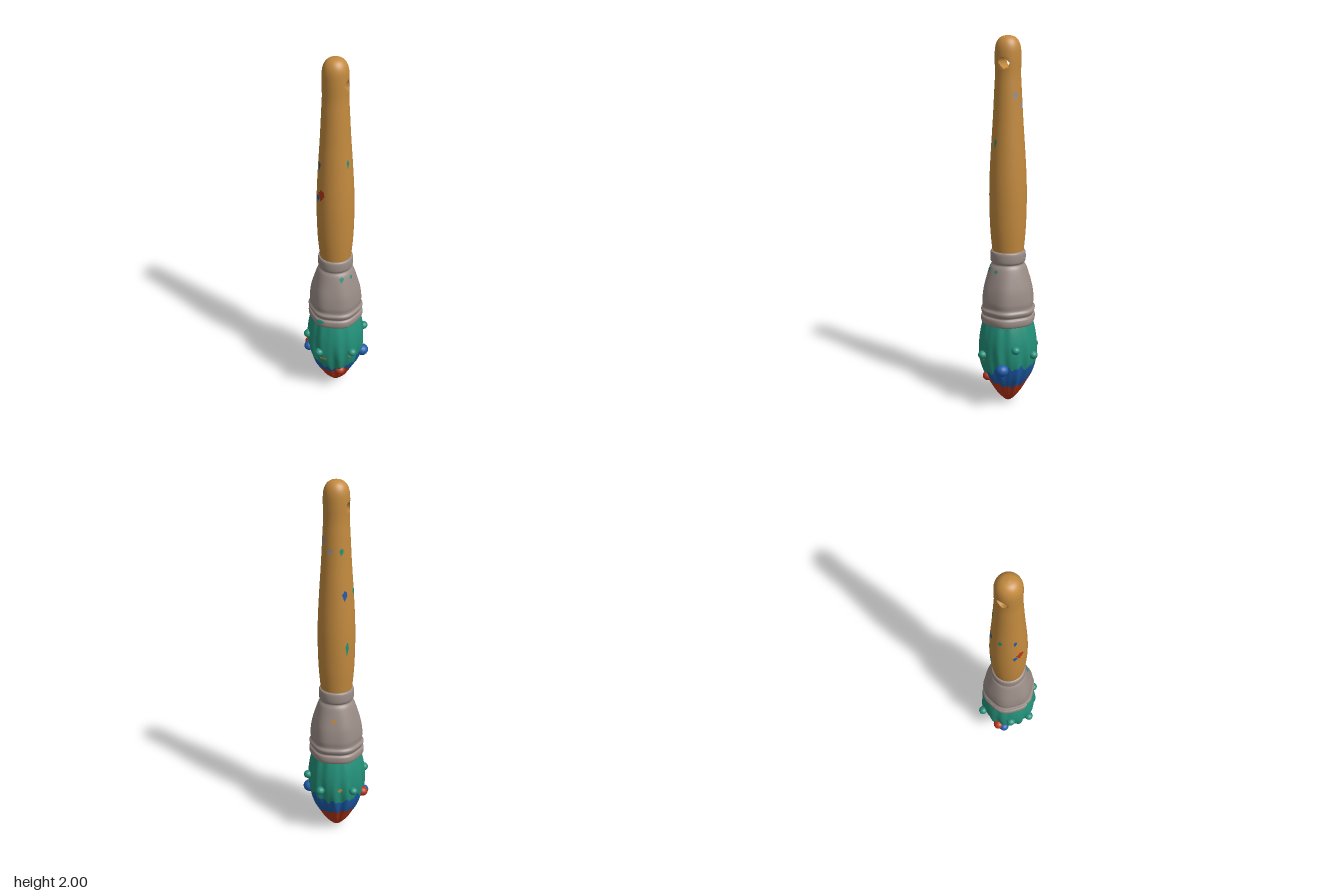
import * as THREE from 'three';
import { mergeVertices } from 'three/addons/utils/BufferGeometryUtils.js';

const material = (name, color, side = THREE.FrontSide) => {
  const m = new THREE.MeshStandardMaterial({ color, side });
  m.name = name;
  return m;
};

// Smooth [radius, y] profile, bottom to top
const profile = (pts, n) =>
  new THREE.SplineCurve(pts.map(([r, y]) => new THREE.Vector2(r, y))).getSpacedPoints(n)
    .map((p) => p.set(Math.max(p.x, 0), p.y));

const radiusAt = (pts, y) => {
  for (let i = 1; i < pts.length; i++) {
    const a = pts[i - 1], b = pts[i];
    if (y >= a.y && y <= b.y && b.y > a.y) return a.x + (b.x - a.x) * (y - a.y) / (b.y - a.y);
  }
  return y < pts[0].y ? pts[0].x : pts[pts.length - 1].x;
};

// Move every vertex by a rule, then weld and smooth
const reshape = (geometry, rule) => {
  const pos = geometry.attributes.position, v = new THREE.Vector3();
  for (let i = 0; i < pos.count; i++) {
    rule(v.fromBufferAttribute(pos, i));
    pos.setXYZ(i, v.x, v.y, v.z);
  }
  geometry.deleteAttribute('uv');
  geometry.deleteAttribute('normal');
  const welded = mergeVertices(geometry, 1e-5);
  welded.computeVertexNormals();
  return welded;
};

const around = (v, radius, angle, y) => v.set(radius * Math.sin(angle), y, radius * Math.cos(angle));

export function createModel() {
  const model = new THREE.Group();
  const wood = material('wood', 0xc38a3e, THREE.DoubleSide);
  const metal = material('metal', 0x9b8d87);
  const teal = material('teal paint', 0x23917a);
  const blue = material('blue paint', 0x1d5cab);
  const red = material('red paint', 0xb93519);
  const add = (name, geometry, mat, parent = model) => {
    const mesh = new THREE.Mesh(geometry, mat);
    mesh.name = name;
    parent.add(mesh);
    return mesh;
  };

  // Handle, opened by a hanging hole running straight through near the top
  const handlePts = profile([[0.08, 0.84], [0.087, 0.9], [0.095, 1.0], [0.099, 1.14], [0.097, 1.27],
    [0.089, 1.42], [0.079, 1.57], [0.071, 1.72], [0.067, 1.8], [0.068, 1.88], [0.066, 1.935],
    [0.055, 1.97], [0.033, 1.992], [0, 2]], 160);
  const holeAngle = 2.066;
  const holeY = handlePts.reduce((a, b) => (Math.abs(b.y - 1.865) < Math.abs(a.y - 1.865) ? b : a)).y;
  const axis = new THREE.Vector3(Math.sin(holeAngle), 0, Math.cos(holeAngle));
  const side = new THREE.Vector3(axis.z, 0, -axis.x);
  const handle = new THREE.LatheGeometry(handlePts, 48, holeAngle);
  const hp = handle.attributes.position, hv = new THREE.Vector3();
  const atHole = (i) => {
    hv.fromBufferAttribute(hp, i);
    return Math.hypot(hv.dot(side), hv.y - holeY) < 0.001;
  };
  const kept = [], index = handle.index.array;
  for (let i = 0; i < index.length; i += 3) {
    const tri = [index[i], index[i + 1], index[i + 2]];
    if (!tri.some(atHole)) kept.push(...tri);
  }
  handle.setIndex(kept);
  add('handle', reshape(handle, (v) => {
    const t = v.dot(side), dy = v.y - holeY, d = Math.hypot(t, dy);
    if (d > 0.05 || d < 0.001) return;
    const k = (0.027 + d * 0.46) / d;
    const r = Math.hypot(v.x, v.z), sign = Math.sign(v.dot(axis));
    const depth = sign * Math.sqrt(Math.max(r * r - t * t * k * k, 0));
    v.copy(axis).multiplyScalar(depth).addScaledVector(side, t * k).setY(holeY + dy * k);
  }), wood);

  // Lining of the hole
  add('hole lining', reshape(new THREE.CylinderGeometry(0.032, 0.032, 2, 24, 1, true), (v) => {
    const t = v.x, dy = v.z, s = Math.sign(v.y) * Math.sqrt(0.067 ** 2 - t * t) * 0.99;
    v.copy(axis).multiplyScalar(s).addScaledVector(side, t).setY(holeY + dy);
  }), wood);

  // Ferrule with a collar, a flared and slightly six-sided body and two swollen bands
  const ferrulePts = profile([[0.125, 0.475], [0.14, 0.472], [0.147, 0.488], [0.146, 0.512], [0.137, 0.522],
    [0.144, 0.535], [0.147, 0.55], [0.138, 0.565], [0.14, 0.6], [0.133, 0.66], [0.118, 0.72], [0.099, 0.78],
    [0.086, 0.803], [0.093, 0.815], [0.095, 0.84], [0.092, 0.868], [0.08, 0.874]], 110);
  const ferruleRadius = (y, a) => radiusAt(ferrulePts, y) *
    (1 + 0.022 * Math.cos(6 * (a - 0.2)) * Math.min(1, Math.max(0, (0.8 - y) * 8)));
  add('ferrule', reshape(new THREE.LatheGeometry(ferrulePts, 72), (v) => {
    const a = Math.atan2(v.x, v.z), f = 1 + 0.022 * Math.cos(6 * (a - 0.2)) * Math.min(1, Math.max(0, (0.8 - v.y) * 8));
    v.set(v.x * f, v.y, v.z * f);
  }), metal);

  // Bristle head, ridged into tufts and dipped in three colours
  const headPts = profile([[0, 0], [0.024, 0.014], [0.06, 0.055], [0.092, 0.11], [0.124, 0.17], [0.145, 0.235],
    [0.155, 0.3], [0.155, 0.37], [0.147, 0.43], [0.134, 0.485]], 80);
  const headRadius = (y, a) => radiusAt(headPts, y) * (1 +
    (y < 0.26 ? 0.055 : 0.055 - Math.min(0.035, (y - 0.26) * 0.3)) *
    (0.6 * Math.cos(11 * a + 7 * y) + 0.4 * Math.cos(17 * a + 2)));
  const jag = (a) => 0.011 * Math.cos(13 * a) + 0.008 * Math.cos(23 * a + 1);
  const blueTop = (a) => 0.218 - 0.03 * Math.cos(a - 0.8) + 0.02 * Math.cos(2 * (a - 2.36)) + jag(a);
  const redTop = (a) => 0.132 + 0.016 * Math.cos(2 * (a - 1)) + 0.8 * jag(a + 1);
  const band = (name, low, high, rows, mat) => {
    const column = Array.from({ length: rows + 1 }, (_, i) => new THREE.Vector2(1, i / rows));
    add(name, reshape(new THREE.LatheGeometry(column, 120), (v) => {
      const a = Math.atan2(v.x, v.z), y = low(a) + (high(a) - low(a)) * v.y;
      around(v, headRadius(y, a), a, y);
    }), mat);
  };
  band('bristle tip', () => 0, redTop, 16, red);
  band('bristle middle', redTop, blueTop, 10, blue);
  band('bristle base', blueTop, () => 0.485, 22, teal);

  // Paint drops swelling out of the bristles: x, y, z, radius, colour
  const drops = new THREE.Group();
  drops.name = 'paint drops';
  model.add(drops);
  [[-0.165, 0.302, -0.028, 0.024, teal], [-0.042, 0.305, -0.16, 0.024, teal],
    [0.073, 0.355, -0.147, 0.024, teal], [0.164, 0.305, 0.022, 0.024, teal],
    [0.038, 0.302, 0.157, 0.024, teal], [-0.078, 0.355, 0.136, 0.025, teal],
    [0.122, 0.237, -0.092, 0.036, blue], [-0.108, 0.232, 0.107, 0.028, blue],
    [-0.127, 0.24, 0.08, 0.03, red], [0.1, 0.155, 0.055, 0.028, red]].forEach(([x, y, z, r, mat]) => {
    const drop = add('drop', new THREE.SphereGeometry(r, 16, 12), mat, drops);
    drop.position.set(x, y, z);
    drop.rotation.y = Math.atan2(x, z);
    drop.scale.set(1, 0.9, 1);
  });

  // Thin splashes lying on a surface: angle, y, half width, half height, colour
  const splash = (radius, list) => list.forEach(([angle, y, w, h, mat]) => {
    add('splash', reshape(new THREE.CircleGeometry(1, 11), (v) => {
      const wobble = 1 + 0.25 * Math.sin(7 * v.x + 4 * v.y);
      const py = y + v.y * h * wobble, a = angle + v.x * w * wobble / radius(y, angle);
      around(v, radius(py, a) + 0.003, a, py);
    }), mat);
  });
  splash((y) => radiusAt(handlePts, y), [
    [0, 1.275, 0.02, 0.03, red], [-0.28, 1.25, 0.013, 0.02, blue], [-0.25, 1.435, 0.008, 0.022, blue],
    [-1.1, 1.43, 0.01, 0.02, teal], [1.6, 1.455, 0.007, 0.022, teal],
    [-2.0, 1.65, 0.01, 0.018, teal], [-2.8, 1.65, 0.016, 0.016, metal],
    [-1.85, 1.42, 0.013, 0.025, blue], [-1.75, 1.13, 0.009, 0.035, teal], [2.95, 1.7, 0.016, 0.02, metal]]);
  splash(ferruleRadius, [
    [0.22, 0.507, 0.025, 0.011, teal], [1.15, 0.77, 0.012, 0.014, teal],
    [1.75, 0.768, 0.01, 0.009, teal], [-2.45, 0.72, 0.012, 0.012, wood]]);
  splash(headRadius, [
    [-2.2, 0.31, 0.012, 0.012, wood], [-1.05, 0.245, 0.012, 0.02, wood], [0.35, 0.26, 0.025, 0.008, wood],
    [-0.65, 0.12, 0.012, 0.012, wood], [1.4, 0.275, 0.014, 0.008, wood]]);

  return model;
}
